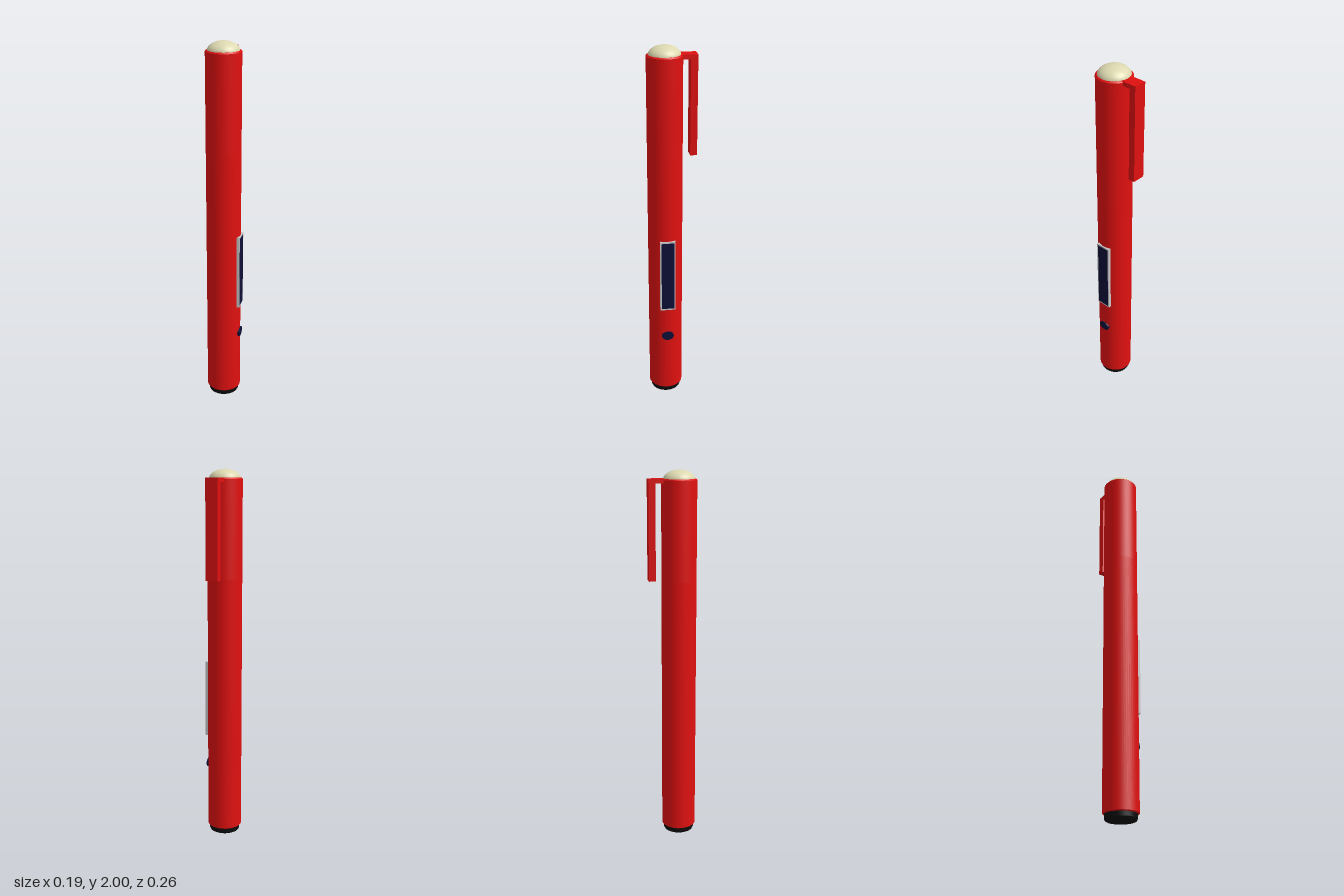
import * as THREE from 'three';

const CX = -0.0035, CZ = 0.035, R = 0.0925;

export function createModel() {
  const model = new THREE.Group();
  model.name = 'penDevice';

  const mat = (name, color) => {
    const m = new THREE.MeshStandardMaterial({ color });
    m.name = name;
    return m;
  };
  const red = mat('red', 0xe01010);
  const cream = mat('cream', 0xdcd8b0);
  const black = mat('black', 0x0c0c0c);
  const navy = mat('navy', 0x0e0e38);
  const silver = mat('silver', 0xc8c8c8);

  const add = (name, geometry, material, x, y, z) => {
    const mesh = new THREE.Mesh(geometry, material);
    mesh.name = name;
    mesh.position.set(x, y, z);
    model.add(mesh);
    return mesh;
  };
  const box = (name, material, [x0, x1], [y0, y1], [z0, z1]) =>
    add(name, new THREE.BoxGeometry(x1 - x0, y1 - y0, z1 - z0), material,
      (x0 + x1) / 2, (y0 + y1) / 2, (z0 + z1) / 2);
  // Each profile segment is its own band, so the rims stay sharp
  const turned = (name, material, profile) => {
    const group = new THREE.Group();
    group.name = name;
    group.position.set(CX, 0, CZ);
    for (let i = 0; i + 1 < profile.length; i++) {
      const band = [profile[i], profile[i + 1]].map(([r, y]) => new THREE.Vector2(r, y));
      const mesh = new THREE.Mesh(new THREE.LatheGeometry(band, 48), material);
      mesh.name = name + 'Band';
      group.add(mesh);
    }
    model.add(group);
  };

  // Barrel and upper sleeve
  turned('barrel', red, [[0, 0.035], [R - 0.004, 0.035], [R, 0.039], [R, 1.435]]);
  turned('upperSleeve', red, [[R, 1.435], [R, 1.949], [R - 0.006, 1.955], [0, 1.955]]);

  // Foot
  turned('foot', black, [[0, 0], [0.072, 0], [0.079, 0.004], [0.083, 0.012], [0.083, 0.04]]);

  // Domed push button at the top
  const dome = [];
  for (let i = 0; i <= 12; i++) {
    const a = (i / 12) * Math.PI / 2;
    dome.push(new THREE.Vector2(i === 12 ? 0 : 0.083 * Math.cos(a), 1.95 + 0.05 * Math.sin(a)));
  }
  add('topButton', new THREE.LatheGeometry(dome, 48), cream, CX, 0, CZ);

  // Pocket clip on the back
  box('clipArm', red, [-0.038, 0.031], [1.933, 1.956], [-0.1, -0.035]);
  box('clipBar', red, [-0.038, 0.031], [1.435, 1.956], [-0.128, -0.092]);

  // Display with its frame on the left side
  box('displayFrame', silver, [0.07, 0.0945], [0.558, 0.976], [-0.007, 0.076]);
  box('display', navy, [0.09, 0.0955], [0.567, 0.967], [0.0, 0.069]);

  // Oval side button
  const button = add('sideButton', new THREE.CylinderGeometry(1, 1, 0.024, 32), navy, 0.082, 0.388, CZ);
  button.rotation.z = -Math.PI / 2;
  button.scale.set(0.026, 1, 0.033);

  return model;
}
